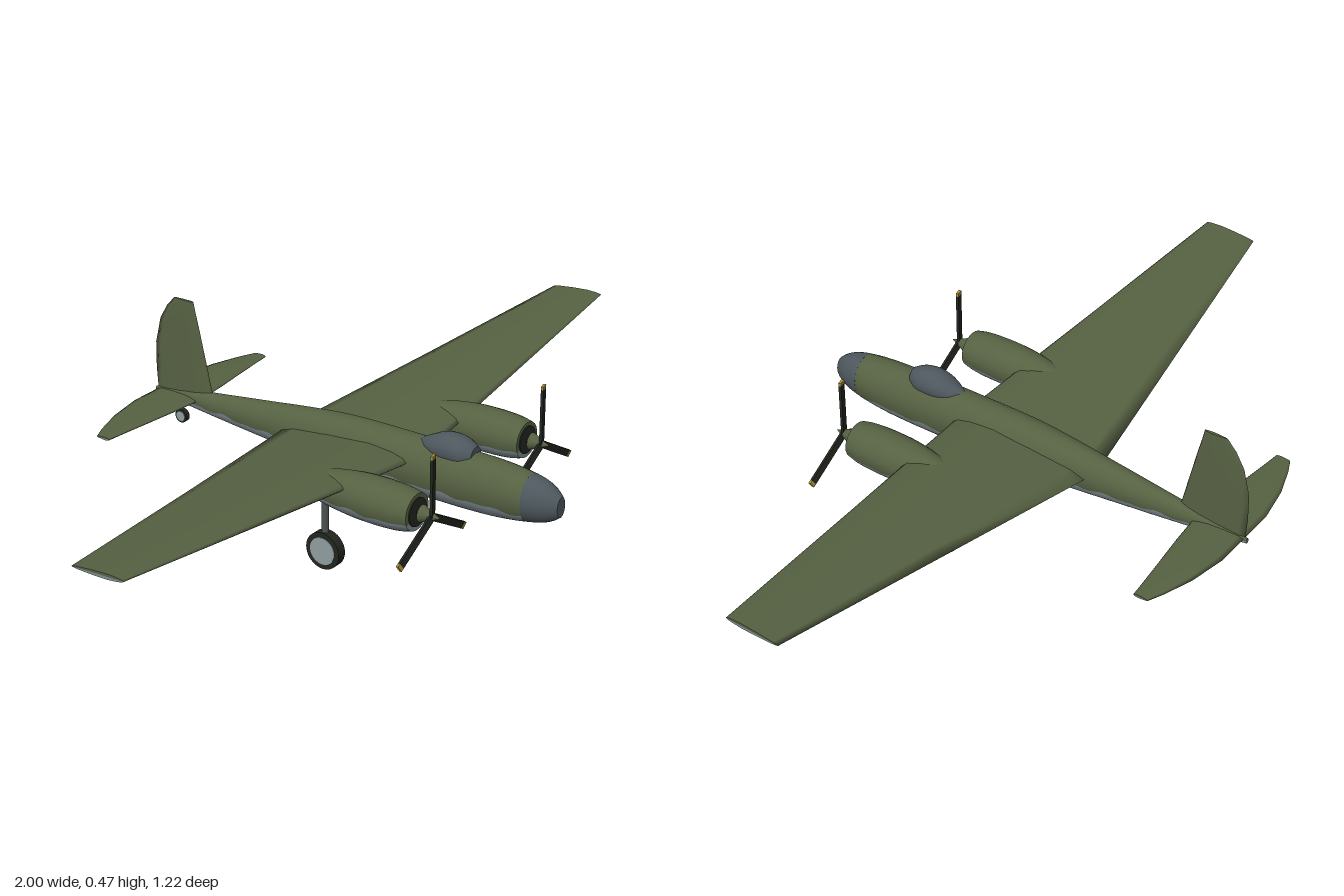
import * as THREE from 'three';

const mat = (name, color, side = THREE.FrontSide) => Object.assign(new THREE.MeshStandardMaterial({ color, side }), { name });

// Closed loft through rings of points; pick(j) chooses the material of column j.
function loft(name, rings, materials, pick = () => 0) {
  const n = rings[0].length, pos = [], lists = materials.map(() => []);
  rings.forEach(r => r.forEach(p => pos.push(...p)));
  for (let i = 0; i < rings.length - 1; i++) {
    for (let j = 0; j < n; j++) {
      const k = (j + 1) % n, a = i * n + j, b = i * n + k, c = b + n, d = a + n;
      lists[pick(j)].push(a, b, c, a, c, d);
    }
  }
  // flat end caps with their own vertices
  [rings[0], rings[rings.length - 1]].forEach((ring, e) => {
    const base = pos.length / 3;
    ring.forEach(p => pos.push(...p));
    pos.push(...[0, 1, 2].map(q => ring.reduce((s, p) => s + p[q], 0) / n));
    for (let j = 0; j < n; j++) {
      const k = (j + 1) % n;
      lists[pick(j)].push(base + n, base + (e ? j : k), base + (e ? k : j));
    }
  });
  const g = new THREE.BufferGeometry();
  g.setAttribute('position', new THREE.Float32BufferAttribute(pos, 3));
  g.setIndex(lists.flat());
  let start = 0;
  lists.forEach((l, m) => { g.addGroup(start, l.length, m); start += l.length; });
  g.computeVertexNormals();
  const mesh = new THREE.Mesh(g, materials);
  mesh.name = name;
  return mesh;
}

// Round body along z from stations [z, top, bottom, halfWidth]; the two
// colours meet at height split(z).
function body(name, stations, z0, z1, steps, materials, split) {
  const curve = new THREE.CubicInterpolant(stations.map(s => s[0]), stations.flatMap(s => s.slice(1)), 3);
  const half = 14, rings = [];
  for (let i = 0; i <= steps; i++) {
    const z = z0 + (z1 - z0) * i / steps;
    const [top, bottom, w] = curve.evaluate(z);
    const yc = (top + bottom) / 2, h = (top - bottom) / 2;
    const a = Math.asin(THREE.MathUtils.clamp((split(z) - yc) / h, -0.95, 0.95));
    const ring = [];
    for (let j = 0; j < half * 2; j++) {
      const t = j < half ? a + (Math.PI - 2 * a) * j / half
        : Math.PI - a + (Math.PI + 2 * a) * (j - half) / half;
      ring.push([w * Math.cos(t), yc + h * Math.sin(t), z]);
    }
    rings.push(ring);
  }
  return loft(name, rings, materials, j => (j < half || materials.length < 2 ? 0 : 1));
}

// Aerofoil half section as [chord fraction, relative thickness], rear to front
const FOIL = [[1, 0], [0.9, 0.45], [0.6, 0.85], [0.3, 1], [0.12, 0.7], [0.03, 0.36], [0, 0]];
const foilRing = (le, te, place) => [
  ...FOIL.map(([c, t]) => place(le + (te - le) * c, t, c)),
  ...FOIL.slice(1, -1).reverse().map(([c, t]) => place(le + (te - le) * c, -t, c)),
];

export function createModel() {
  const model = new THREE.Group();
  model.name = 'aeroplane';
  const green = mat('olive green', 0x566142);
  const grey = mat('underside grey', 0x7f8c92);
  const glass = mat('glazing slate', 0x4d575d);
  const dark = mat('rubber black', 0x22261f);
  const metal = mat('strut metal', 0x4b5252);
  const hubGrey = mat('wheel hub grey', 0x8e9c9f);
  const yellow = mat('tip yellow', 0xa8923a);
  const add = (parent, name, geo, m, x = 0, y = 0, z = 0) => {
    const mesh = new THREE.Mesh(geo, m);
    mesh.name = name;
    mesh.position.set(x, y, z);
    parent.add(mesh);
    return mesh;
  };

  // Fuselage and glazed nose
  const hull = [
    [-0.608, 0.205, 0.19, 0.005], [-0.5, 0.222, 0.178, 0.015], [-0.4, 0.235, 0.168, 0.024],
    [-0.25, 0.254, 0.155, 0.037], [-0.1, 0.273, 0.142, 0.049], [0, 0.282, 0.136, 0.056],
    [0.2, 0.285, 0.135, 0.058], [0.35, 0.284, 0.135, 0.058], [0.45, 0.281, 0.14, 0.057],
    [0.53, 0.272, 0.151, 0.05], [0.57, 0.262, 0.16, 0.04], [0.595, 0.248, 0.171, 0.029], [0.61, 0.235, 0.182, 0.018],
  ];
  const wave = z => 0.003 * Math.sin(z * 47) + 0.0025 * Math.sin(z * 83 + 1);
  model.add(body('fuselage', hull, -0.608, 0.527, 70, [green, grey], z => 0.18 + Math.max(0, -z) * 0.028 + wave(z)));
  model.add(body('glazedNose', hull, 0.527, 0.61, 8, [glass], () => 0.21));

  // Cockpit canopy
  const canopy = [
    [0.218, 0.284, 0.26, 0.012], [0.25, 0.3, 0.25, 0.03], [0.28, 0.314, 0.24, 0.038],
    [0.315, 0.318, 0.24, 0.04], [0.35, 0.311, 0.24, 0.035], [0.372, 0.299, 0.25, 0.022],
  ];
  model.add(body('canopy', canopy, 0.218, 0.372, 12, [glass], () => 0.27));

  // Main wing with dihedral: [x, leading edge, trailing edge, y, half thickness]
  const topOrBottom = j => (j < FOIL.length - 1 ? 0 : 1);
  const span = (name, half, twist) => {
    const all = [...half.slice(1).reverse().map(([x, ...r]) => [-x, ...r]), ...half];
    model.add(loft(name, all.map(([x, le, te, y, h]) =>
      foilRing(le, te, (z, t, c) => [x, y + h * t + (0.4 - c) * twist * (le - te), z])), [green, grey], topOrBottom));
  };
  span('wing', [[0, 0.215, -0.18, 0.222, 0.026], [0.06, 0.21, -0.17, 0.225, 0.025],
    [0.5, 0.172, -0.098, 0.259, 0.017], [1, 0.13, -0.018, 0.3, 0.007]], 0.05);

  // Tailplane and fin
  span('tailplane', [[0, -0.463, -0.6, 0.202, 0.008], [0.1, -0.472, -0.6, 0.202, 0.008],
    [0.2, -0.484, -0.582, 0.202, 0.007], [0.28, -0.493, -0.555, 0.202, 0.005],
    [0.32, -0.497, -0.537, 0.202, 0.004]], 0);
  const fin = [[0.2, -0.416, -0.602], [0.26, -0.43, -0.606], [0.33, -0.446, -0.605],
    [0.4, -0.462, -0.588], [0.44, -0.472, -0.565], [0.468, -0.478, -0.54]];
  model.add(loft('fin', fin.map(([y, le, te], i) =>
    foilRing(le, te, (z, t) => [-t * (0.008 - i * 0.0008), y, z])), [green]));

  // Engine nacelles, propellers and main gear, one set per side
  const nacelle = [
    [-0.035, 0.222, 0.214, 0.003], [0.04, 0.24, 0.195, 0.022], [0.1, 0.26, 0.178, 0.037],
    [0.2, 0.278, 0.167, 0.053], [0.28, 0.281, 0.166, 0.056], [0.34, 0.277, 0.171, 0.053], [0.367, 0.271, 0.178, 0.048],
  ];
  const wheel = (parent, name, r, width) => {
    const g = new THREE.Group();
    g.name = name;
    add(g, 'tyre', new THREE.CylinderGeometry(r, r, width, 32), dark).rotation.z = Math.PI / 2;
    add(g, 'hub', new THREE.CylinderGeometry(r * 0.74, r * 0.74, width + 0.003, 32), hubGrey).rotation.z = Math.PI / 2;
    parent.add(g);
    return g;
  };
  for (const side of [-1, 1]) {
    const engine = new THREE.Group();
    engine.name = side > 0 ? 'leftEngine' : 'rightEngine';
    engine.position.x = side * 0.24;
    model.add(engine);
    engine.add(body('nacelle', nacelle, -0.035, 0.367, 32, [green, grey], z => 0.203 + wave(z + 0.1)));
    add(engine, 'engineFace', new THREE.CylinderGeometry(0.036, 0.036, 0.004, 28), dark, 0, 0.225, 0.368).rotation.x = Math.PI / 2;
    add(engine, 'shaft', new THREE.CylinderGeometry(0.008, 0.008, 0.03, 12), dark, 0, 0.225, 0.375).rotation.x = Math.PI / 2;
    add(engine, 'spinner', new THREE.ConeGeometry(0.022, 0.052, 20), green, 0, 0.225, 0.406).rotation.x = Math.PI / 2;
    const propeller = new THREE.Group();
    propeller.name = 'propeller';
    propeller.position.set(0, 0.225, 0.409);
    for (let i = 0; i < 3; i++) {
      const blade = new THREE.Group();
      blade.name = 'blade';
      blade.rotation.z = i * Math.PI * 2 / 3;
      add(blade, 'bladeBody', new THREE.BoxGeometry(0.018, 0.147, 0.007), dark, 0, 0.0735).rotation.y = 0.2;
      add(blade, 'bladeTip', new THREE.BoxGeometry(0.018, 0.009, 0.007), yellow, 0, 0.1515).rotation.y = 0.2;
      propeller.add(blade);
    }
    engine.add(propeller);
    add(engine, 'gearStrut', new THREE.CylinderGeometry(0.009, 0.009, 0.15, 14), metal, 0, 0.135, 0.105);
    wheel(engine, 'mainWheel', 0.048, 0.026).position.set(0, 0.048, 0.105);
  }

  // Tail wheel
  add(model, 'tailStrut', new THREE.CylinderGeometry(0.004, 0.004, 0.05, 10), metal, 0, 0.168, -0.525);
  wheel(model, 'tailWheel', 0.018, 0.014).position.set(0, 0.143, -0.525);
  return model;
}
